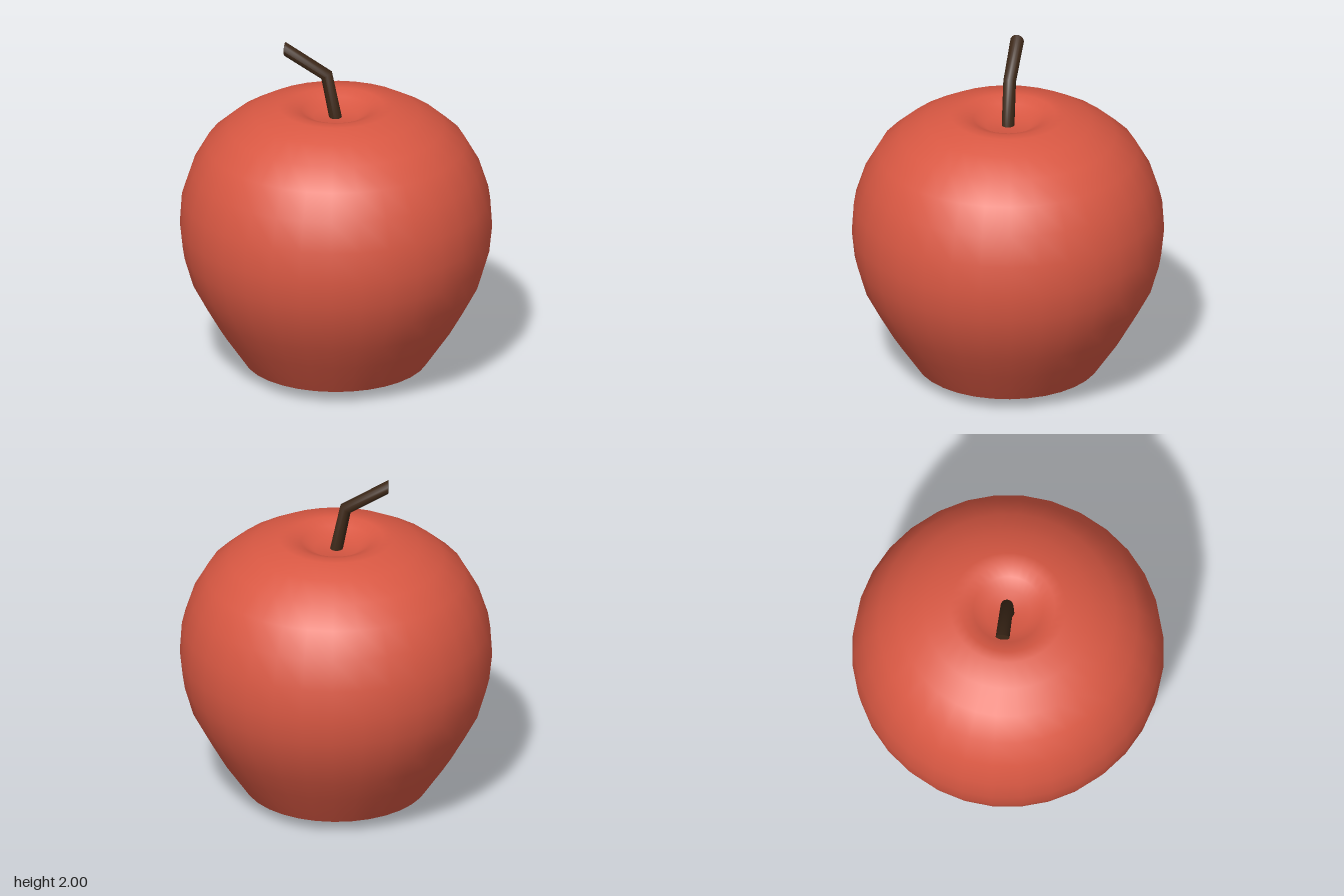
import * as THREE from 'three';

const SEGMENTS = 32;

function lathe(name, profile, material) {
  const points = profile.map(([r, y]) => new THREE.Vector2(r, y));
  const mesh = new THREE.Mesh(new THREE.LatheGeometry(points, SEGMENTS), material);
  mesh.name = name;
  mesh.rotation.y = 0.055;
  return mesh;
}

// Bent stem: a cylinder whose three rings are moved onto a kinked path.
function createStem(material) {
  const geometry = new THREE.CylinderGeometry(1, 1, 2, 16, 2);
  const lean = new THREE.Vector3(-0.9, 0, 0.436); // horizontal direction of the bend
  const side = new THREE.Vector3(0.436, 0, 0.9);
  // out: distance along the lean, tilt: how far the ring plane is turned
  const rings = [
    { out: 0, y: 1.55, tilt: 0, radius: 0.037 },
    { out: 0.055, y: 1.82, tilt: 0.65, radius: 0.037 },
    { out: 0.3, y: 1.96, tilt: Math.PI / 2, radius: 0.04 },
  ];
  const position = geometry.attributes.position;
  const p = new THREE.Vector3();
  for (let i = 0; i < position.count; i++) {
    const ring = rings[Math.round(position.getY(i)) + 1];
    const across = position.getX(i) * ring.radius;
    const along = position.getZ(i) * ring.radius;
    p.set(0, ring.y + across * Math.sin(ring.tilt), 0)
      .addScaledVector(lean, ring.out - across * Math.cos(ring.tilt))
      .addScaledVector(side, along);
    position.setXYZ(i, p.x, p.y, p.z);
  }
  geometry.computeVertexNormals();
  const mesh = new THREE.Mesh(geometry, material);
  mesh.name = 'stem';
  return mesh;
}

export function createModel() {
  const skin = new THREE.MeshStandardMaterial({ color: 0xd95843 });
  const bark = new THREE.MeshStandardMaterial({ color: 0x3d2818 });
  const group = new THREE.Group();
  group.name = 'apple';

  // Body, from the bottom rim up and into the dimple
  group.add(lathe('body', [
    [0.53, 0.075], [0.67, 0.28], [0.75, 0.42], [0.83, 0.57], [0.88, 0.74],
    [0.897, 0.9], [0.885, 1.08], [0.83, 1.25], [0.745, 1.4], [0.62, 1.51],
    [0.48, 1.59], [0.335, 1.635], [0.27, 1.635], [0.2, 1.61], [0.13, 1.57], [0, 1.565],
  ], skin));

  // Shallow underside with a sharp rim
  group.add(lathe('underside', [[0, 0], [0.22, 0.02], [0.53, 0.075]], skin));

  group.add(createStem(bark));
  return group;
}
